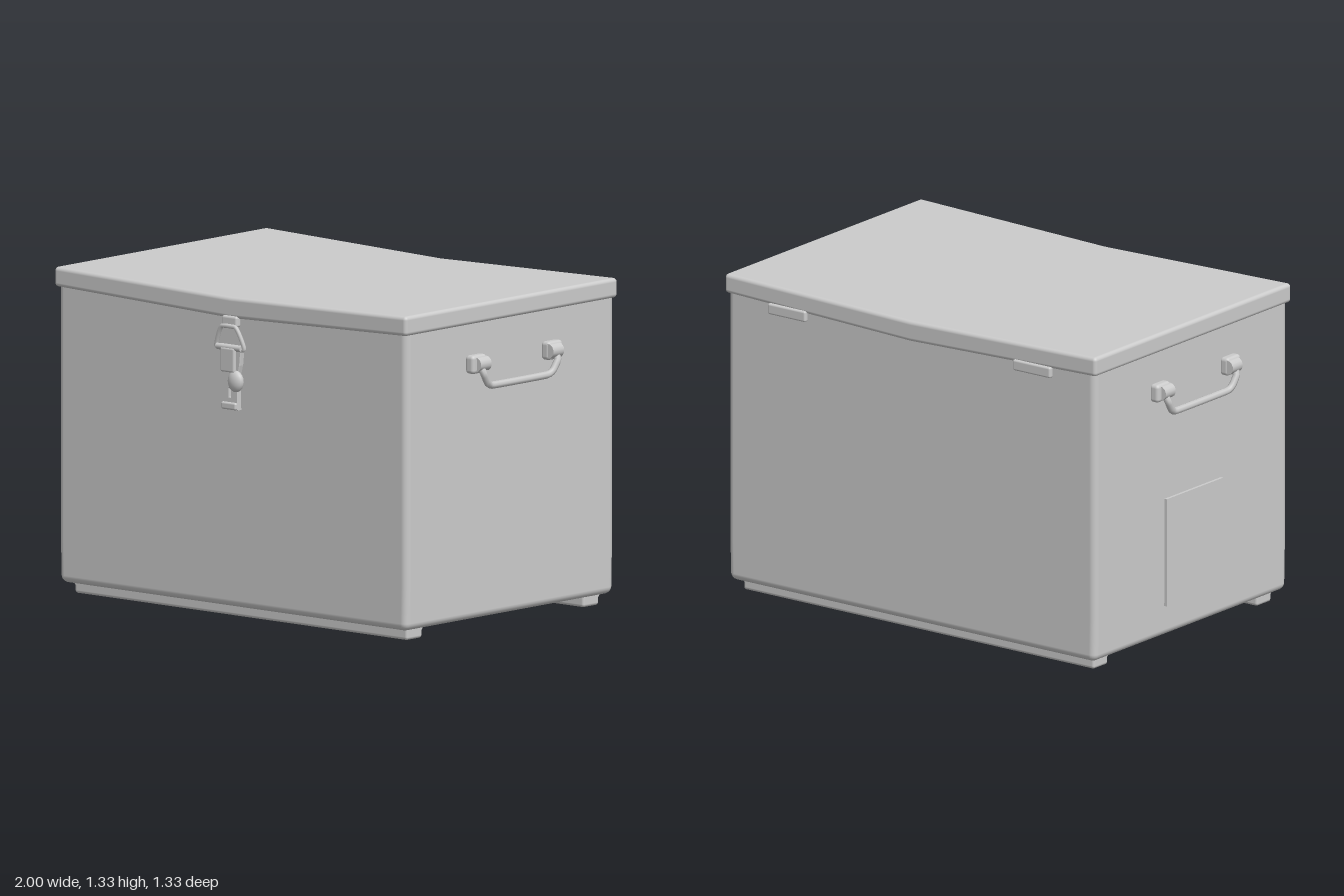
import * as THREE from 'three';

const grey = new THREE.MeshStandardMaterial({ color: 0xcccccc, side: THREE.DoubleSide });

function add(parent, name, geometry, x = 0, y = 0, z = 0) {
  const mesh = new THREE.Mesh(geometry, grey);
  mesh.name = name;
  mesh.position.set(x, y, z);
  parent.add(mesh);
  return mesh;
}

// Box with rounded edges of radius r and evenly divided flat faces
function softBox(w, h, d, r, flat = 8) {
  const rim = 3, n = flat + rim * 2;
  const geo = new THREE.BoxGeometry(1, 1, 1, n, n, n);
  const p = geo.attributes.position, nor = geo.attributes.normal;
  const half = new THREE.Vector3(w / 2, h / 2, d / 2);
  const inner = half.clone().subScalar(r);
  const spread = (t, size) => {
    const i = Math.round((t + 0.5) * n), k = size / 2 - r;
    if (i < rim) return -k - r * (rim - i) / rim;
    if (i > n - rim) return k + r * (i - n + rim) / rim;
    return -k + 2 * k * (i - rim) / flat;
  };
  const v = new THREE.Vector3(), core = new THREE.Vector3();
  for (let i = 0; i < p.count; i++) {
    v.set(spread(p.getX(i), w), spread(p.getY(i), h), spread(p.getZ(i), d));
    core.copy(v).clamp(inner.clone().negate(), inner);
    v.sub(core).normalize();
    nor.setXYZ(i, v.x, v.y, v.z);
    v.multiplyScalar(r).add(core);
    p.setXYZ(i, v.x, v.y, v.z);
  }
  return geo;
}

function move(geo, rule) {
  const p = geo.attributes.position, v = new THREE.Vector3();
  for (let i = 0; i < p.count; i++) {
    rule(v.fromBufferAttribute(p, i));
    p.setXYZ(i, v.x, v.y, v.z);
  }
  return geo;
}

function tube(points, radius, closed = false, steps = 40) {
  const curve = new THREE.CatmullRomCurve3(points.map(a => new THREE.Vector3(...a)), closed, 'catmullrom', 0.2);
  return new THREE.TubeGeometry(curve, steps, radius, 8, closed);
}

// Carrying handle on the +x side: two brackets and a drooping bar
function sideHandle() {
  const g = new THREE.Group();
  for (const [z, s] of [[0.215, 1], [-0.245, -1]]) {
    add(g, 'handleBracket', softBox(0.045, 0.075, 0.09, 0.015, 2), 0.95, 1.095, z);
    const eye = add(g, 'handleEye', new THREE.CylinderGeometry(0.03, 0.03, 0.065, 14), 0.966, 1.095, z - s * 0.01);
    eye.rotation.x = Math.PI / 2;
  }
  add(g, 'handleBar', tube([
    [0.965, 1.10, 0.215], [0.985, 1.06, 0.21], [0.983, 1.02, 0.185], [0.978, 1.003, 0.15],
    [0.978, 1.003, -0.18], [0.983, 1.02, -0.215], [0.985, 1.06, -0.24], [0.965, 1.10, -0.245],
  ], 0.015));
  return g;
}

export function createModel() {
  const model = new THREE.Group();
  model.name = 'storageChest';

  // Body with softened edges and a slightly drawn-in base
  const body = move(softBox(1.862, 1.235, 1.265, 0.03), v => {
    const t = Math.max(0, -v.y - 0.55) / 0.07;
    v.x *= 1 - 0.006 * t;
  });
  add(model, 'body', body, -0.005, 0.6675, -0.022);

  // Lid, sagging a little in the middle
  const lid = move(softBox(1.88, 0.08, 1.29, 0.016, 20), v => {
    const dip = 1 - Math.min(1, Math.abs(v.x) / 0.94);
    v.y -= dip * (v.y > 0 ? 0.022 : 0.028);
  });
  add(model, 'lid', lid, -0.003, 1.294, -0.017);

  // Two runners under the base, narrower at the floor
  for (const z of [0.512, -0.56]) {
    const runner = move(softBox(1.79, 0.08, 0.11, 0.012, 3), v => {
      if (v.y < 0) { v.x *= 0.992; v.z *= 0.85; }
    });
    add(model, 'runner', runner, -0.005, 0.045, z);
  }

  // Side handles
  const right = sideHandle(), left = sideHandle();
  right.name = 'leftHandle';
  left.name = 'rightHandle';
  left.scale.x = -1;
  model.add(right, left);

  // Hinge leaves at the back
  for (const x of [-0.625, 0.615]) {
    add(model, 'hingeLeaf', softBox(0.19, 0.045, 0.03, 0.008, 2), x, 1.232, -0.658);
  }

  // Thin raised panel on one side
  add(model, 'sidePanel', new THREE.BoxGeometry(0.02, 0.45, 0.37), -0.938, 0.405, -0.015);

  // Front latch
  const latch = new THREE.Group();
  latch.name = 'latch';
  model.add(latch);
  add(latch, 'catch', softBox(0.08, 0.045, 0.03, 0.01, 2), 0, 1.215, 0.622);
  add(latch, 'latchLoop', tube([
    [-0.035, 1.195, 0.638], [0.035, 1.195, 0.638], [0.055, 1.165, 0.635],
    [0.072, 1.105, 0.628], [-0.072, 1.105, 0.628], [-0.055, 1.165, 0.635],
  ], 0.009, true, 60));

  // Latch plate with a slot for the lock
  const plate = new THREE.Shape([
    [-0.058, 1.115], [-0.05, 1.04], [-0.037, 0.99], [-0.04, 0.86],
    [0.04, 0.86], [0.037, 0.99], [0.05, 1.04], [0.058, 1.115],
  ].map(a => new THREE.Vector2(...a)));
  plate.holes.push(new THREE.Path([
    [-0.007, 0.905], [-0.007, 0.945], [0.007, 0.945], [0.007, 0.905],
  ].map(a => new THREE.Vector2(...a))));
  add(latch, 'latchPlate', new THREE.ExtrudeGeometry(plate, {
    depth: 0.022, bevelEnabled: true, bevelSize: 0.003, bevelThickness: 0.004, bevelSegments: 1,
  }), 0, 0, 0.606);
  add(latch, 'latchLever', softBox(0.075, 0.1, 0.02, 0.008, 2), 0, 1.06, 0.64);
  const roll = add(latch, 'latchPivot', new THREE.CylinderGeometry(0.012, 0.012, 0.13, 12), 0, 1.11, 0.635);
  roll.rotation.z = Math.PI / 2;
  const knob = add(latch, 'latchKnob', new THREE.SphereGeometry(0.04, 16, 10), 0.035, 0.975, 0.635);
  knob.scale.set(0.95, 1.1, 0.6);
  add(latch, 'latchFoot', softBox(0.08, 0.03, 0.03, 0.008, 2), 0, 0.872, 0.628);

  return model;
}
